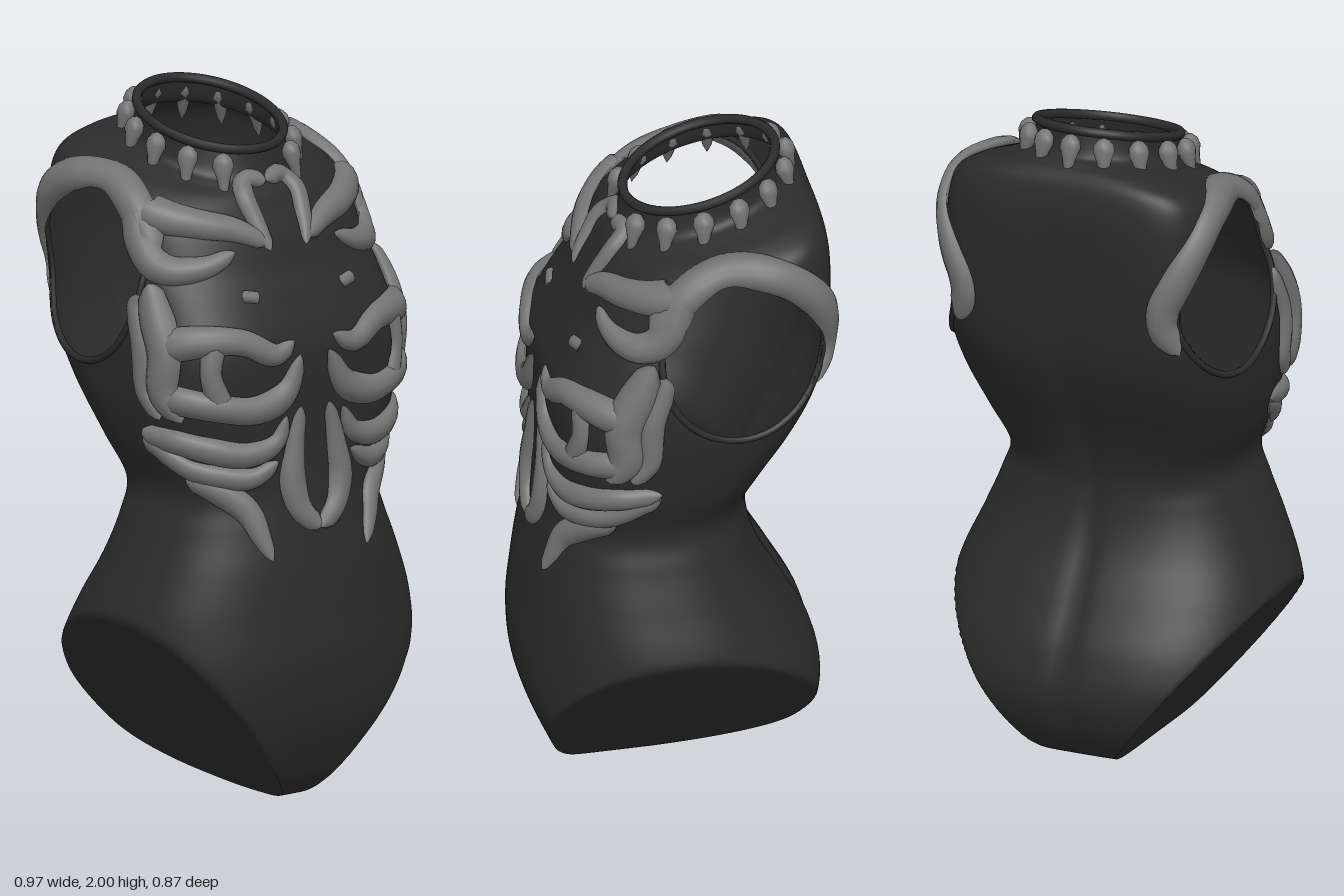
import * as THREE from 'three';

const suit = new THREE.MeshStandardMaterial({ color: 0x2b2b2b, side: THREE.DoubleSide });
suit.name = 'charcoal suit';
const boneGrey = new THREE.MeshStandardMaterial({ color: 0x747474 });
boneGrey.name = 'bone grey';

// Body sections: height, half width, front z, back z, front and back squareness, tilt
const ROWS = [
  [0, 0.02, 0.18, 0.16, 2.5, 2.5, 0],
  [0.02, 0.3, 0.27, 0.0, 2.5, 2.5, 0],
  [0.06, 0.45, 0.32, -0.2, 2.5, 2.5, 0],
  [0.13, 0.5, 0.36, -0.34, 2.5, 2.5, 0],
  [0.28, 0.5, 0.42, -0.42, 2.5, 2.5, 0],
  [0.42, 0.5, 0.435, -0.4, 2.5, 2.5, 0],
  [0.56, 0.485, 0.425, -0.33, 2.4, 2.4, 0],
  [0.7, 0.43, 0.41, -0.255, 2.4, 2.4, 0],
  [0.82, 0.38, 0.39, -0.22, 2.4, 2.4, 0],
  [0.92, 0.35, 0.375, -0.22, 2.5, 2.4, 0],
  [1.05, 0.395, 0.365, -0.268, 2.9, 2.7, 0],
  [1.2, 0.43, 0.365, -0.342, 3.3, 3.2, 0],
  [1.35, 0.44, 0.36, -0.4, 3.3, 3.8, 0],
  [1.5, 0.43, 0.31, -0.425, 3, 4.4, -0.08],
  [1.6, 0.415, 0.27, -0.43, 2.7, 4.8, -0.15],
  [1.7, 0.405, 0.235, -0.427, 2.5, 4.8, -0.2],
  [1.77, 0.385, 0.2, -0.412, 2.4, 4.4, -0.24],
  [1.81, 0.33, 0.178, -0.388, 2.2, 3.6, -0.25],
  [1.833, 0.26, 0.155, -0.36, 2, 2.6, -0.26],
  [1.855, 0.215, 0.137, -0.335, 2, 2, -0.27],
  [1.925, 0.2, 0.118, -0.315, 2, 2, -0.28],
];
const LAST = ROWS.length - 1;
const HOLE = { z: -0.145, y: 1.525, rz: 0.235, ry: 0.25 };

// Smooth blend between body sections
function section(t) {
  const i = Math.min(Math.floor(t), LAST - 1), f = t - i;
  const row = (k) => ROWS[Math.max(0, Math.min(LAST, k))];
  return ROWS[0].map((_, c) => {
    const [a, b, d, e] = [row(i - 1)[c], row(i)[c], row(i + 1)[c], row(i + 2)[c]];
    return b + 0.5 * f * (d - a + f * (2 * a - 5 * b + 4 * d - e + f * (3 * (b - d) + e - a)));
  });
}

// Point on the body at section t and angle a (0 = front)
function bodyPoint(t, a) {
  const [y, w, zf, zb, nf, nb, tilt] = section(t);
  const s = Math.sin(a), c = Math.cos(a), n = c > 0 ? nf : nb;
  const zc = (zf + zb) / 2, d = (zf - zb) / 2;
  const power = (v) => Math.sign(v) * Math.pow(Math.abs(v), 2 / n);
  let x = w * power(s), z = zc + d * power(c);
  // slanted leg cut with a rounded tip
  const limit = 0.79 * Math.sqrt(Math.max(0, (y + 0.06) ** 2 - 0.0036));
  if (y < 0.6) x = Math.max(-limit, Math.min(limit, x));
  // spine groove fading out at both ends
  const fade = THREE.MathUtils.smoothstep(y, 0.1, 0.3) * (1 - THREE.MathUtils.smoothstep(y, 1.5, 1.82));
  if (c < 0) z += 0.013 * fade * Math.exp(-((x / 0.035) ** 2));
  return new THREE.Vector3(x, Math.max(0, y + tilt * (z - zc)), z);
}

function bodyGeometry() {
  const NU = 180, NV = 160, pos = [], index = [], inHole = [];
  for (let j = 0; j <= NV; j++) for (let i = 0; i < NU; i++) {
    const p = bodyPoint((j / NV) * LAST, (i / NU) * Math.PI * 2);
    const dz = (p.z - HOLE.z) / HOLE.rz, dy = (p.y - HOLE.y) / HOLE.ry, r = Math.hypot(dz, dy);
    const inside = Math.abs(p.x) > 0.24 && r < 1;
    if (inside) {                                   // push to the armhole edge
      p.z = HOLE.z + (dz / r) * HOLE.rz;
      p.y = HOLE.y + (dy / r) * HOLE.ry;
    }
    inHole.push(inside);
    pos.push(p.x, p.y, p.z);
  }
  const tri = (a, b, c) => { if (!(inHole[a] && inHole[b] && inHole[c])) index.push(a, b, c); };
  for (let j = 0; j < NV; j++) for (let i = 0; i < NU; i++) {
    const k = (i + 1) % NU, a = j * NU + i, b = j * NU + k;
    tri(a, b, b + NU);
    tri(a, b + NU, a + NU);
  }
  const g = new THREE.BufferGeometry();
  g.setAttribute('position', new THREE.Float32BufferAttribute(pos, 3));
  g.setIndex(index);
  g.computeVertexNormals();
  return g;
}

// Plain closed ring tube
const ringTube = (points, r) => new THREE.TubeGeometry(new THREE.CatmullRomCurve3(points, true), 60, r, 8, true);

// Bone lying on the body: wide along the surface, domed outside, flat inside, tapered at the ends
function boneGeometry(hits, radiusAt, wide) {
  const curve = new THREE.CatmullRomCurve3(hits.map((h) => h.point));
  const normals = new THREE.CatmullRomCurve3(hits.map((h) => h.normal));
  const seg = 48, sides = 14, g = new THREE.TubeGeometry(curve, seg, 1, sides);
  const p = g.attributes.position, v = new THREE.Vector3();
  for (let i = 0; i < p.count; i++) {
    const u = Math.floor(i / (sides + 1)) / seg, c = curve.getPointAt(u);
    const n = normals.getPoint(u).normalize();
    const end = Math.min(1, Math.sqrt(Math.min(u, 1 - u) * 12) + 0.02);
    v.fromBufferAttribute(p, i).sub(c).multiplyScalar(radiusAt(u) * end);
    const out = v.dot(n);
    v.addScaledVector(n, -out).multiplyScalar(wide).addScaledVector(n, out > 0 ? out * 0.85 : out * 0.05);
    v.add(c).addScaledVector(n, 0.003);
    p.setXYZ(i, v.x, v.y, v.z);
  }
  return g;
}

// Bones of one side: x, y, radius along each path
const BONES = {
  collarbone: [[0.37, 1.74, 0.04], [0.34, 1.715, 0.042], [0.26, 1.69, 0.036], [0.16, 1.665, 0.03], [0.07, 1.62, 0.018]],
  shoulderProng: [[0.37, 1.74, 0.035], [0.385, 1.64, 0.038], [0.37, 1.575, 0.036], [0.28, 1.575, 0.028], [0.18, 1.61, 0.014]],
  throatProng: [[0, 1.775, 0.018], [0.06, 1.785, 0.022], [0.092, 1.75, 0.024], [0.085, 1.68, 0.022], [0.065, 1.6, 0.012]],
  sidePlate: [[0.4, 1.53, 0.025], [0.41, 1.44, 0.042], [0.415, 1.34, 0.042], [0.415, 1.23, 0.038], [0.385, 1.15, 0.022]],
  flankPlate: [[0.42, 1.5, 0.02], [0.43, 1.42, 0.026], [0.434, 1.32, 0.028], [0.428, 1.22, 0.024], [0.41, 1.15, 0.02]],
  brow: [[0.42, 1.37, 0.042], [0.34, 1.385, 0.038], [0.24, 1.375, 0.031], [0.14, 1.33, 0.026], [0.07, 1.36, 0.015]],
  lowerSocket: [[0.42, 1.22, 0.036], [0.32, 1.195, 0.032], [0.21, 1.18, 0.032], [0.11, 1.215, 0.034], [0.05, 1.32, 0.015]],
  socketStrut: [[0.32, 1.39, 0.03], [0.335, 1.29, 0.024], [0.31, 1.2, 0.03]],
  upperRib: [[0.408, 1.1, 0.024], [0.385, 1.09, 0.026], [0.33, 1.07, 0.028], [0.23, 1.05, 0.03], [0.14, 1.075, 0.026], [0.1, 1.15, 0.014]],
  middleRib: [[0.404, 1.085, 0.024], [0.38, 1.04, 0.024], [0.345, 1.005, 0.024], [0.28, 0.985, 0.026], [0.21, 0.98, 0.026], [0.13, 1.02, 0.015]],
  lowerRib: [[0.345, 0.975, 0.02], [0.27, 0.93, 0.03], [0.22, 0.88, 0.03], [0.195, 0.81, 0.024], [0.17, 0.74, 0.01]],
  tusk: [[0.05, 1.17, 0.014], [0.075, 1.05, 0.026], [0.085, 0.95, 0.034], [0.06, 0.87, 0.028], [0, 0.815, 0.02]],
  chestFleck: [[0.15, 1.485, 0.014], [0.175, 1.49, 0.014], [0.2, 1.495, 0.014]],
};

export function createModel() {
  const model = new THREE.Group();
  const add = (name, geometry, material) => {
    const m = new THREE.Mesh(geometry, material);
    m.name = name;
    model.add(m);
    return m;
  };
  const body = add('torso', bodyGeometry(), suit);

  const ray = new THREE.Raycaster();
  const cast = (from, dir) => {
    ray.set(from, dir);
    const h = ray.intersectObject(body)[0];
    return h && { point: h.point, normal: h.face.normal.clone() };
  };
  // Drop a front-facing point onto the body
  const drape = (x, y) => {
    for (let k = 0; k < 30; k++, x *= 0.99) {
      const h = cast(new THREE.Vector3(x, y, 1), new THREE.Vector3(0, 0, -1));
      if (h && h.point.z > 0.03) return h;
    }
    return { point: new THREE.Vector3(x, y, 0.1), normal: new THREE.Vector3(0, 0, 1) };
  };
  // Point beside the armhole, angle 0 = front, 90 degrees = top
  const armEdge = (s, deg, grow) => {
    const a = THREE.MathUtils.degToRad(deg);
    const z = HOLE.z + Math.cos(a) * HOLE.rz * grow, y = HOLE.y + Math.sin(a) * HOLE.ry * grow;
    const h = cast(new THREE.Vector3(s, y, z), new THREE.Vector3(-s, 0, 0));
    if (h && h.point.x * s > 0.28) return h;
    return { point: new THREE.Vector3(s * 0.33, y, z), normal: new THREE.Vector3(s, 0, 0) };
  };

  for (const [side, s] of [['left', 1], ['right', -1]]) {
    // Bones draped over the chest
    for (const [name, path] of Object.entries(BONES)) {
      const flat = new THREE.CatmullRomCurve3(path.map(([x, y, r]) => new THREE.Vector3(x * s, y, r)));
      const hits = flat.getSpacedPoints(14).map((q) => drape(q.x, q.y));
      add(`${side} ${name}`, boneGeometry(hits, (u) => flat.getPointAt(u).z, 1.3), boneGrey);
    }
    // Shoulder arch over the armhole, and a thin hem all round it
    const arch = [], hem = [];
    for (let d = 15; d <= 213; d += 11) arch.push(armEdge(s, d, 1.09));
    for (let d = 0; d < 360; d += 12) hem.push(armEdge(s, d, 1.02).point);
    add(`${side} shoulderArch`, boneGeometry(arch, (u) => 0.036 - 0.01 * u ** 4, 1.5), boneGrey);
    add(`${side} armholeHem`, ringTube(hem, 0.01), suit);
  }

  // Neck rim
  const rim = [];
  for (let i = 0; i < 30; i++) rim.push(bodyPoint(LAST, (i / 30) * Math.PI * 2));
  add('neckRim', ringTube(rim, 0.014), suit);

  // Ring of small fangs round the collar, open at the front
  const fang = new THREE.LatheGeometry(
    [[0.001, -0.085], [0.013, -0.055], [0.02, -0.02], [0.031, 0.01], [0.028, 0.03], [0.015, 0.045], [0.001, 0.05]]
      .map(([x, y]) => new THREE.Vector2(x, y)), 12);
  for (let k = -6; k <= 6; k++) {
    const a = Math.PI + THREE.MathUtils.degToRad(k * 24.5);
    const m = add('collarFang', fang, boneGrey);
    m.position.copy(bodyPoint(LAST - 0.75, a));
    m.position.x += Math.sin(a) * 0.024;
    m.position.z += Math.cos(a) * 0.024;
    m.rotation.set(-0.25, a, 0, 'YXZ');
    m.scale.z = 0.85;
  }
  return model;
}
